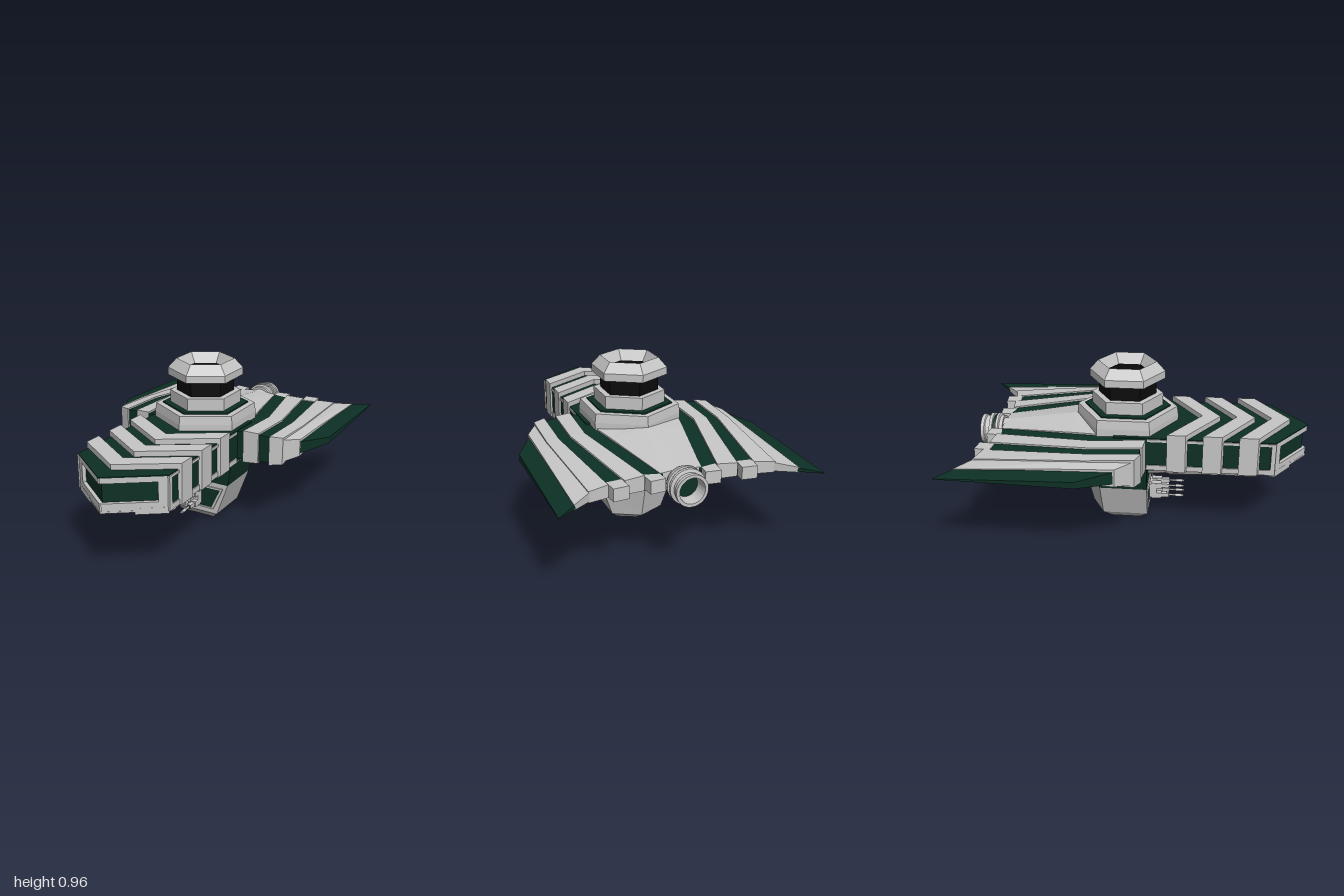
import * as THREE from 'three';

const mat = (name, color) => {
  const m = new THREE.MeshStandardMaterial({ color });
  m.name = name;
  return m;
};

const flat = (geo) => {
  const g = geo.index ? geo.toNonIndexed() : geo;
  g.computeVertexNormals();
  return g;
};

// Closed, flat-shaded solid through equal-sized rings of [x, y, z]; always turned outward.
function loft(rings) {
  const tris = [];
  const n = rings[0].length;
  for (let r = 0; r < rings.length - 1; r++) {
    for (let i = 0; i < n; i++) {
      const j = (i + 1) % n;
      const [a, b, c, d] = [rings[r][i], rings[r][j], rings[r + 1][j], rings[r + 1][i]];
      tris.push([a, b, c], [a, c, d]);
    }
  }
  const first = rings[0], last = rings[rings.length - 1];
  for (let i = 1; i < n - 1; i++) {
    tris.push([first[0], first[i + 1], first[i]], [last[0], last[i], last[i + 1]]);
  }
  let volume = 0;
  const [o] = first;
  const v = (p) => new THREE.Vector3(p[0] - o[0], p[1] - o[1], p[2] - o[2]);
  for (const [a, b, c] of tris) volume += v(a).dot(v(b).cross(v(c)));
  if (volume < 0) tris.forEach((t) => t.reverse());
  const g = new THREE.BufferGeometry();
  g.setAttribute('position', new THREE.Float32BufferAttribute(tris.flat(2), 3));
  g.computeVertexNormals();
  return g;
}

// Plan outline of [x, z] points raised from y0 to y1
function plan(points, y0, y1) {
  const shape = new THREE.Shape(points.map(([x, z]) => new THREE.Vector2(x, -z)));
  const g = new THREE.ExtrudeGeometry(shape, { depth: y1 - y0, bevelEnabled: false });
  return g.rotateX(-Math.PI / 2).translate(0, y0, 0);
}

const lathe = (profile, sides) =>
  new THREE.LatheGeometry(profile.map(([r, y]) => new THREE.Vector2(r, y)), sides);

export function createModel() {
  const model = new THREE.Group();
  const grey = mat('light grey', 0xc6c6c6);
  const green = mat('dark green', 0x0d3025);
  const black = mat('black', 0x0b0b0b);

  const add = (name, geo, material, x = 0, y = 0, z = 0, parent = model) => {
    const m = new THREE.Mesh(geo, material);
    m.name = name;
    m.position.set(x, y, z);
    parent.add(m);
    return m;
  };
  const box = (name, w, h, d, material, x, y, z, parent) =>
    add(name, new THREE.BoxGeometry(w, h, d), material, x, y, z, parent);

  // Forward hull with a pointed nose
  const W = 0.28;
  const hull = (tip, y0, y1) =>
    plan([[-W, -0.1], [-W, tip - 0.2], [0, tip], [W, tip - 0.2], [W, -0.1]], y0, y1);
  add('forwardHull', hull(0.975, 0.415, 0.6), green);
  add('forwardDeck', hull(1, 0.6, 0.606), green);
  add('forwardHullSill', hull(1, 0.41, 0.42), grey);

  // Raised chevron bands wrapped around the hull
  for (const z of [0.2, 0.4, 0.6]) {
    const w = 0.296, a = z + 0.105, v = 0.19;
    add('chevronBand', plan([[-w, z], [-w, a], [0, a + v], [w, a], [w, z], [0, z + v]], 0.41, 0.636), grey);
  }

  // Frames on the nose and hull sides
  const L = Math.hypot(W, 0.2);
  for (const s of [-1, 1]) {
    const frame = new THREE.Group();
    frame.name = 'noseFrame';
    frame.position.set(s * W / 2, 0, 0.889);
    frame.rotation.y = s * Math.atan2(0.2, W);
    model.add(frame);
    box('noseFrameTop', L, 0.03, 0.022, grey, 0, 0.585, -0.003, frame);
    box('noseFrameBottom', L, 0.045, 0.022, grey, 0, 0.44, -0.003, frame);
    box('noseFrameEnd', 0.06, 0.16, 0.022, grey, s * (L / 2 - 0.03), 0.51, -0.003, frame);
    box('sideRailTop', 0.012, 0.015, 0.7, grey, s * W, 0.593, 0.44);
    box('sideRailBottom', 0.012, 0.03, 0.7, grey, s * W, 0.427, 0.44);
    box('sideCornerPost', 0.012, 0.19, 0.025, grey, s * W, 0.505, 0.79);
  }

  // V-shaped keel below the hull, with slanted stripes
  const edgeX = (z) => (z > 0.8 ? W * (1 - z) / 0.2 : W);
  const keelY = (z) => Math.max(0.255, 0.41 - (1 - z) * 0.235);
  add('keel', loft([0.999, 0.8, 0.34, 0].map((z) =>
    [[-edgeX(z), 0.412, z], [0, keelY(z), z], [edgeX(z), 0.412, z]])), green);
  for (const s of [-1, 1]) {
    for (const z of [0.2, 0.4, 0.6, 0.8]) {
      const end = (x, y, a, b) => [[x(a), y(a) + 0.02, a], [x(b), y(b) + 0.02, b],
        [x(b), y(b) - 0.015, b], [x(a), y(a) - 0.015, a]];
      add('keelStripe', loft([
        end((q) => s * edgeX(q), () => 0.412, z, z + 0.1),
        end(() => 0, keelY, z - 0.2, z - 0.1),
      ]), grey);
    }
  }

  // Central body tapering to the tail: z, half width, crest, edge top, edge bottom, belly
  add('centralBody', loft([
    [0.1, 0.25, 0.62, 0.605, 0.43, 0.36],
    [-0.2, 0.25, 0.635, 0.605, 0.435, 0.335],
    [-0.34, 0.217, 0.63, 0.595, 0.44, 0.34],
    [-0.78, 0.113, 0.565, 0.555, 0.475, 0.425],
  ].map(([z, w, c, t, b, k]) =>
    [[0, c, z], [w, t, z], [w, b, z], [0, k, z], [-w, b, z], [-w, t, z]])), grey);

  // Wing panels: stations front to back, each [inner x, z, half thickness, outer x, z, half thickness]
  const panels = [
    ['innerWingStripe', green, [0.24, 0.075, 0.085, 0.33, 0.075, 0.083],
      [0.24, -0.22, 0.077, 0.335, -0.22, 0.072], [0.1, -0.78, 0.035, 0.2, -0.785, 0.033]],
    ['innerWingRib', grey, [0.32, 0.085, 0.095, 0.41, 0.075, 0.09],
      [0.33, -0.23, 0.084, 0.415, -0.23, 0.079], [0.2, -0.785, 0.042, 0.31, -0.8, 0.038]],
    ['outerWingStripe', green, [0.4, 0.065, 0.08, 0.49, 0.06, 0.076],
      [0.41, -0.24, 0.068, 0.485, -0.24, 0.064], [0.31, -0.795, 0.03, 0.41, -0.805, 0.027]],
    ['outerWingRib', grey, [0.477, 0.075, 0.086, 0.547, 0.045, 0.08],
      [0.48, -0.24, 0.074, 0.55, -0.24, 0.067], [0.4, -0.81, 0.035, 0.51, -0.84, 0.03]],
    ['wingEdge', grey, [0.54, 0.04, 0.068, 0.607, -0.055, 0.05],
      [0.545, -0.24, 0.06, 0.607, -0.25, 0.045], [0.505, -0.838, 0.024, 0.607, -0.92, 0.014]],
    ['wingTip', green, [0.6, -0.05, 0.036, 0.705, -0.25, 0.019],
      [0.6, -0.5, 0.027, 0.705, -0.6, 0.011], [0.6, -0.915, 0.011, 0.705, -1, 0.002]],
  ];
  const midY = 0.518;
  for (const s of [-1, 1]) {
    for (const [name, material, ...stations] of panels) {
      add(name, loft(stations.map(([xi, zi, hi, xo, zo, ho]) => [
        [s * xi, midY + hi, zi], [s * xo, midY + ho, zo],
        [s * xo, midY - ho, zo], [s * xi, midY - hi, zi],
      ])), material);
    }
    // Blocks behind the green wing stripes
    for (const [x, z] of [[0.155, -0.8], [0.355, -0.815]]) {
      box('tailBlock', 0.085, 0.07, 0.09, grey, s * x, midY, z).rotation.y = s * 0.1;
    }
  }

  // Hollow tail exhaust with ribbed rings
  const exhaust = lathe([[0.07, 0.74], [0.07, 0.79], [0.085, 0.79], [0.085, 0.81], [0.097, 0.815],
    [0.097, 0.83], [0.078, 0.83], [0.078, 0.85], [0.097, 0.85], [0.097, 0.867], [0.08, 0.872],
    [0.08, 0.895], [0.087, 0.9], [0.087, 0.92], [0.07, 0.92], [0.055, 0.8], [0, 0.8]], 24);
  add('tailExhaust', flat(exhaust.rotateX(-Math.PI / 2)), grey, 0, 0.5, 0);
  const ring = new THREE.CylinderGeometry(0.084, 0.084, 0.016, 24).rotateX(Math.PI / 2);
  add('exhaustRing', ring.clone(), green, 0, 0.5, -0.84);

  // Lower pod, flat in front and pointed behind: y, half width, front, side corner, rear
  const podRing = ([y, w, f, sd, b]) => [[-w, y, f], [w, y, f], [w, y, sd], [0, y, b], [-w, y, sd]];
  const upper = [0.42, 0.252, 0.085, -0.2, -0.35];
  const waist = [0.25, 0.225, 0.085, -0.19, -0.31];
  add('podCollar', loft([[...upper], [0.34, 0.24, 0.085, -0.2, -0.343], waist].map(podRing)), green);
  add('pod', loft([waist, [0.05, 0.155, 0.085, -0.18, -0.26], [0, 0.105, 0.035, -0.13, -0.18]].map(podRing)), grey);

  // Framed panel on the pod front
  const trapezoid = (top, bottom, y0, y1) =>
    [[-bottom, y0], [bottom, y0], [top, y1], [-top, y1]].map(([x, y]) => new THREE.Vector2(x, y));
  const rim = new THREE.Shape(trapezoid(0.195, 0.132, 0.08, 0.222));
  rim.holes.push(new THREE.Path(trapezoid(0.178, 0.122, 0.09, 0.212).reverse()));
  add('podPanelRim', new THREE.ExtrudeGeometry(rim, { depth: 0.009, bevelEnabled: false }), grey, 0, 0, 0.084);
  add('podPanel', new THREE.ExtrudeGeometry(new THREE.Shape(trapezoid(0.185, 0.126, 0.085, 0.217)),
    { depth: 0.004, bevelEnabled: false }), green, 0, 0, 0.084);

  // Four-barrelled gun
  const barrel = new THREE.CylinderGeometry(0.006, 0.006, 0.15, 10).rotateX(Math.PI / 2);
  const muzzle = new THREE.CylinderGeometry(0.009, 0.009, 0.035, 10).rotateX(Math.PI / 2);
  box('gunBase', 0.105, 0.09, 0.045, grey, 0, 0.152, 0.108);
  box('gunHub', 0.04, 0.04, 0.04, grey, 0, 0.152, 0.145);
  for (const x of [-0.034, 0.034]) {
    for (const y of [0.12, 0.185]) {
      box('gunBreech', 0.036, 0.036, 0.06, grey, x, y, 0.13);
      box('gunSleeve', 0.024, 0.024, 0.05, grey, x, y, 0.18);
      box('gunSleeveFace', 0.018, 0.018, 0.004, black, x, y, 0.205);
      add('gunBarrel', barrel, grey, x, y, 0.22);
      add('gunMuzzle', muzzle, grey, x, y, 0.265);
    }
  }

  // Six-sided tower: stacked tiers, dark neck and hollow cap
  const tier = (name, profile, material) => add(name, flat(lathe(profile, 6)), material, 0, 0, -0.047);
  tier('towerBase', [[0.297, 0.58], [0.297, 0.64], [0.29, 0.69], [0, 0.69]], grey);
  tier('towerTrim', [[0.25, 0.68], [0.25, 0.698], [0, 0.698]], green);
  tier('towerTier', [[0.207, 0.69], [0.207, 0.77], [0.15, 0.77]], grey);
  tier('towerNeck', [[0.168, 0.76], [0.168, 0.865]], black);
  tier('towerCap', [[0.16, 0.862], [0.218, 0.862], [0.218, 0.905], [0.168, 0.96], [0.128, 0.9]], grey);
  tier('towerWell', [[0.128, 0.9], [0.128, 0.78]], black);
  tier('towerFloor', [[0.15, 0.79], [0, 0.79]], green);
  box('towerFloorBar', 0.2, 0.015, 0.025, grey, 0, 0.797, 0.015);

  return model;
}
